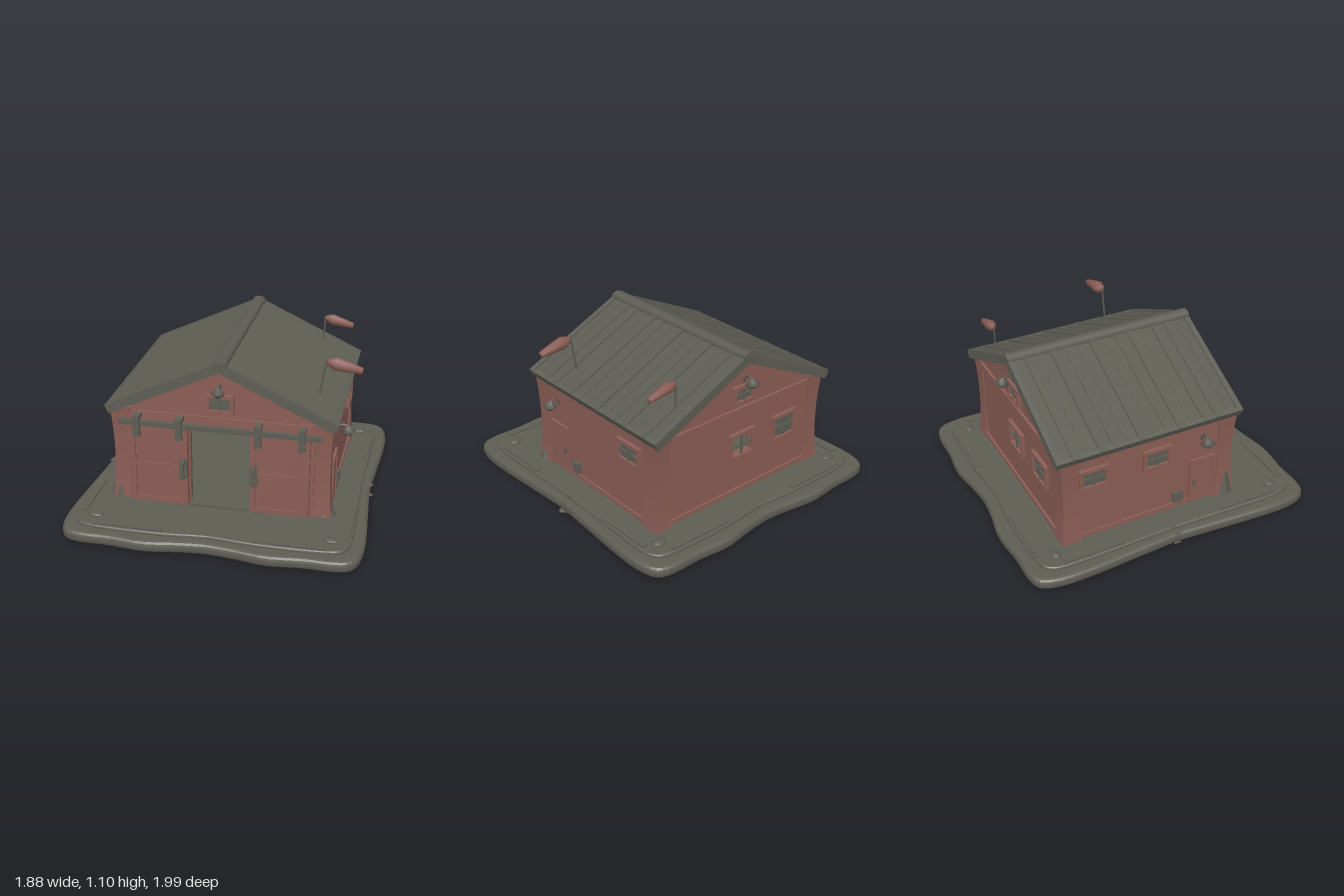
import * as THREE from 'three';

const red = new THREE.MeshStandardMaterial({ color: 0x8a5d55 });
red.name = 'weathered red';
const grey = new THREE.MeshStandardMaterial({ color: 0x5e5d54 });
grey.name = 'weathered grey';

function add(parent, name, geo, mat, x = 0, y = 0, z = 0) {
  const m = new THREE.Mesh(geo, mat);
  m.name = name;
  m.position.set(x, y, z);
  parent.add(m);
  return m;
}
const box = (p, name, mat, w, h, d, x, y, z) => add(p, name, new THREE.BoxGeometry(w, h, d), mat, x, y, z);

function group(parent, name, x = 0, y = 0, z = 0, turn = 0) {
  const g = new THREE.Group();
  g.name = name;
  g.position.set(x, y, z);
  g.rotation.y = turn;
  parent.add(g);
  return g;
}

// Ground slab from a mirrored quarter outline, extruded upward with a soft rim
function slab(parent, name, quarter, y, h, bevel) {
  const pts = [];
  for (const [sx, sy] of [[1, 1], [-1, 1], [-1, -1], [1, -1]]) {
    const q = quarter.map(([a, b]) => new THREE.Vector2(a * sx, b * sy));
    if (sx * sy < 0) q.reverse();
    pts.push(...q);
  }
  const outline = new THREE.SplineCurve([...pts, pts[0].clone()]).getPoints(112);
  outline.pop();
  const geo = new THREE.ExtrudeGeometry(new THREE.Shape(outline), {
    depth: h - 2 * bevel, bevelThickness: bevel, bevelSize: bevel, bevelOffset: -bevel, bevelSegments: 3,
  });
  geo.rotateX(-Math.PI / 2);
  add(parent, name, geo, grey, 0, y + bevel, 0);
}

// Gable wall with one rectangular opening [x0, y0, x1, y1]
function gable(parent, name, mat, z, depth, inset, [x0, y0, x1, y1]) {
  const w = 0.675 - inset;
  const s = new THREE.Shape([[-w, 0.08], [w, 0.08], [w, 0.73], [0, 1.045], [-w, 0.73]].map(p => new THREE.Vector2(...p)));
  s.holes.push(new THREE.Path([[x0, y0], [x0, y1], [x1, y1], [x1, y0]].map(p => new THREE.Vector2(...p))));
  add(parent, name, new THREE.ExtrudeGeometry(s, { depth, bevelEnabled: false }), mat, 0, 0, z);
}

// Window facing local +z
function windowUnit(parent, name, x, y, z, turn, w, h, open = false) {
  const g = group(parent, name, x, y, z, turn);
  if (!open) box(g, 'windowPane', grey, w, h, 0.008, 0, 0, 0.004);
  for (const s of [-1, 1]) {
    box(g, 'frameSide', red, 0.022, h + 0.044, 0.03, s * (w / 2 + 0.011), 0, 0.01);
    box(g, 'frameRail', red, w, 0.022, 0.03, 0, s * (h / 2 + 0.011), 0.01);
  }
  box(g, 'upright', grey, 0.012, h, 0.014, 0, 0, 0.012);
  box(g, 'crossbar', grey, w, 0.012, 0.014, 0, 0, 0.012);
}

// Wall lamp on a curved arm, reaching along local +z
function lamp(parent, name, x, y, z, turn) {
  const g = group(parent, name, x, y, z, turn);
  const path = new THREE.QuadraticBezierCurve3(
    new THREE.Vector3(0, -0.02, 0), new THREE.Vector3(0, 0.07, 0.02), new THREE.Vector3(0, 0.02, 0.075));
  add(g, 'lampArm', new THREE.TubeGeometry(path, 6, 0.008, 5), grey);
  const shade = [[0, -0.035], [0.022, -0.025], [0.046, -0.005], [0.024, 0.02], [0, 0.04]];
  add(g, 'lampShade', new THREE.LatheGeometry(shade.map(p => new THREE.Vector2(...p)), 8), grey, 0, 0, 0.075).rotation.x = -0.25;
}

// Tapered windsock on a slim pole
function windsock(parent, name, foot, top, sockLen, tilt, r) {
  const g = group(parent, name);
  const curve = new THREE.LineCurve3(new THREE.Vector3(...foot), new THREE.Vector3(...top));
  add(g, 'pole', new THREE.TubeGeometry(curve, 1, 0.006, 5), grey);
  const prof = [[0, 0], [0.5, 0.03], [1, 0.25], [0.8, 0.6], [0.5, 1], [0, 1]];
  const geo = new THREE.LatheGeometry(prof.map(([a, b]) => new THREE.Vector2(a * r, b * sockLen)), 7);
  geo.rotateZ(-Math.PI / 2);
  add(g, 'sock', geo, red, top[0], top[1] - 0.01, top[2]).rotation.z = tilt;
}

export function createModel() {
  const model = new THREE.Group();
  model.name = 'barn';

  // Ground
  slab(model, 'groundSlab', [[0.9, 0], [0.92, 0.3], [0.94, 0.62], [0.935, 0.82], [0.89, 0.94], [0.78, 0.975], [0.6, 0.975], [0.38, 0.995], [0.18, 0.965], [0.04, 0.95]], 0, 0.075, 0.028);
  slab(model, 'yardFloor', [[0.85, 0], [0.86, 0.4], [0.865, 0.72], [0.84, 0.84], [0.76, 0.89], [0.5, 0.905], [0.25, 0.9], [0.04, 0.88]], 0.05, 0.046, 0.014);
  for (const sx of [-1, 1]) for (const sz of [-1, 1]) {
    box(model, 'kerbEnd', grey, 0.44, 0.025, 0.035, sx * 0.5, 0.093, sz * 0.87);
    box(model, 'kerbSide', grey, 0.035, 0.025, 0.4, sx * 0.83, 0.093, sz * 0.55);
    const stone = add(model, 'cornerStone', new THREE.IcosahedronGeometry(0.05, 1), grey, sx * 0.74, 0.1, sz * 0.77);
    stone.scale.set(1, 0.3, 0.7);
  }

  // Walls with grey lining
  const doorway = [-0.195, 0.09, 0.195, 0.625];
  const gap = [-0.085, 0.385, 0.085, 0.52];
  gable(model, 'frontWall', red, 0.46, 0.03, 0, doorway);
  gable(model, 'frontLining', grey, 0.45, 0.01, 0.03, doorway);
  gable(model, 'backWall', red, -0.68, 0.03, 0, gap);
  gable(model, 'backLining', grey, -0.65, 0.01, 0.03, gap);
  for (const s of [-1, 1]) {
    box(model, 'sideWall', red, 0.03, 0.65, 1.15, s * 0.665, 0.405, -0.095);
    box(model, 'sideLining', grey, 0.01, 0.65, 1.1, s * 0.645, 0.405, -0.095);
    box(model, 'sideSill', red, 0.02, 0.03, 1.1, s * 0.682, 0.12, -0.095);
    box(model, 'sideTopRail', red, 0.02, 0.04, 1.1, s * 0.682, 0.69, -0.095);
    // Corner posts, flared at head and foot
    for (const z of [0.445, -0.635]) {
      const geo = new THREE.BoxGeometry(0.1, 0.65, 0.1, 1, 8, 1);
      const p = geo.attributes.position;
      for (let i = 0; i < p.count; i++) {
        const k = 1 + 0.35 * (p.getY(i) / 0.325) ** 2;
        p.setX(i, p.getX(i) * k);
        p.setZ(i, p.getZ(i) * k);
      }
      geo.computeVertexNormals();
      add(model, 'cornerPost', geo, red, s * 0.638, 0.405, z);
    }
    // Front jambs and worn plinth at the corners
    box(model, 'doorJamb', red, 0.025, 0.55, 0.03, s * 0.58, 0.37, 0.5);
    const worn = add(model, 'wornPlinth', new THREE.ConeGeometry(0.08, s < 0 ? 0.32 : 0.16, 7), grey, s * 0.66, s < 0 ? 0.24 : 0.16, 0.46);
    worn.scale.z = 0.8;
  }
  for (const z of [0.495, -0.685]) box(model, 'gableBeam', red, 1.28, 0.045, 0.025, 0, 0.69, z);
  box(model, 'backSill', red, 1.2, 0.03, 0.02, 0, 0.12, -0.685);
  box(model, 'threshold', grey, 0.56, 0.02, 0.08, 0, 0.1, 0.5);
  box(model, 'barnFloor', grey, 1.28, 0.02, 1.12, 0, 0.093, -0.095);

  // Roof slopes with planks, barge boards and eave beams
  const pitch = 0.437, len = 0.806;
  for (const s of [-1, 1]) {
    const slope = group(model, 'roofSlope', 0, 1.085, 0);
    slope.rotation.z = -s * pitch;
    box(slope, 'roofDeck', grey, len, 0.03, 1.23, s * len / 2, -0.03, -0.1);
    for (let i = 0; i < 14; i++) {
      const plank = box(slope, 'roofPlank', grey, len, 0.014, 0.09, s * len / 2, -0.011 + 0.003 * Math.sin(i * 2.3), -0.672 + i * 0.088);
      plank.rotation.x = 0.09;
    }
    for (const z of [0.515, -0.715]) box(slope, 'bargeBoard', grey, len, 0.06, 0.036, s * len / 2, -0.03, z);
    box(slope, 'eaveBeam', grey, 0.03, 0.05, 1.265, s * (len - 0.012), -0.027, -0.1);
  }
  const cap = add(model, 'ridgeCap', new THREE.CylinderGeometry(0.048, 0.048, 1.27, 8), grey, 0, 1.062, -0.1);
  cap.rotation.x = Math.PI / 2;
  cap.scale.z = 0.7;

  // Sliding doors, rail and hangers
  box(model, 'doorRail', grey, 1.27, 0.032, 0.03, 0, 0.655, 0.55);
  for (const s of [-1, 1]) {
    const door = group(model, 'slidingDoor', s * 0.383, 0, 0.535);
    box(door, 'doorBoard', red, 0.36, 0.52, 0.02, 0, 0.375, 0);
    for (const k of [-1, 1]) {
      box(door, 'doorStile', red, 0.035, 0.53, 0.04, k * 0.168, 0.375, 0.003);
      box(door, 'hanger', grey, 0.042, 0.135, 0.025, k * 0.135, 0.635, 0.032);
      box(door, 'hangerHook', grey, 0.042, 0.025, 0.07, k * 0.135, 0.695, 0.01);
    }
    for (const y of [0.125, 0.37, 0.625]) box(door, 'doorCrossRail', red, 0.33, 0.032, 0.036, 0, y, 0.003);
    const hx = -s * 0.16;
    box(door, 'handlePlate', grey, 0.05, 0.13, 0.012, hx, 0.37, 0.028);
    box(door, 'handleGrip', grey, 0.024, 0.11, 0.014, hx, 0.37, 0.07);
    for (const y of [0.323, 0.417]) box(door, 'handleArm', grey, 0.024, 0.016, 0.05, hx, y, 0.05);
  }

  // Windows
  const R = Math.PI / 2;
  windowUnit(model, 'frontGableWindow', 0, 0.805, 0.49, 0, 0.13, 0.08);
  windowUnit(model, 'backGableWindow', 0, 0.805, -0.68, Math.PI, 0.13, 0.08);
  windowUnit(model, 'backOpenWindow', 0, 0.4525, -0.68, Math.PI, 0.17, 0.135, true);
  windowUnit(model, 'backWindow', -0.37, 0.4525, -0.68, Math.PI, 0.17, 0.135);
  windowUnit(model, 'leftWindow', 0.68, 0.54, -0.44, R, 0.17, 0.1);
  windowUnit(model, 'rightWindow', -0.68, 0.54, -0.48, -R, 0.15, 0.1);
  windowUnit(model, 'rightWindow', -0.68, 0.54, -0.05, -R, 0.15, 0.1);

  // Side doors, latches and meter boxes
  for (const s of [-1, 1]) {
    box(model, 'sideDoor', red, 0.014, 0.31, 0.15, s * 0.683, 0.26, 0.28);
    for (const z of [0.197, 0.363]) box(model, 'sideDoorFrame', red, 0.025, 0.33, 0.016, s * 0.685, 0.265, z);
    box(model, 'sideDoorHead', red, 0.025, 0.016, 0.18, s * 0.685, 0.425, 0.28);
    box(model, 'sideDoorLatch', grey, 0.025, 0.04, 0.014, s * 0.69, 0.26, 0.222);
    box(model, 'meterBox', grey, 0.03, 0.07, 0.07, s * 0.69, 0.185, 0.105);
    lamp(model, 'sideLamp', s * 0.69, 0.595, 0.265, s * R);
  }
  lamp(model, 'frontLamp', 0, 0.9, 0.48, 0);
  lamp(model, 'backLamp', 0, 0.9, -0.69, Math.PI);

  // Windsocks on the roof
  windsock(model, 'backWindsock', [0.48, 0.84, -0.62], [0.485, 1.02, -0.62], 0.2, -0.24, 0.036);
  windsock(model, 'frontWindsock', [0.57, 0.81, 0.23], [0.61, 1.04, 0.23], 0.225, -0.2, 0.042);
  return model;
}
